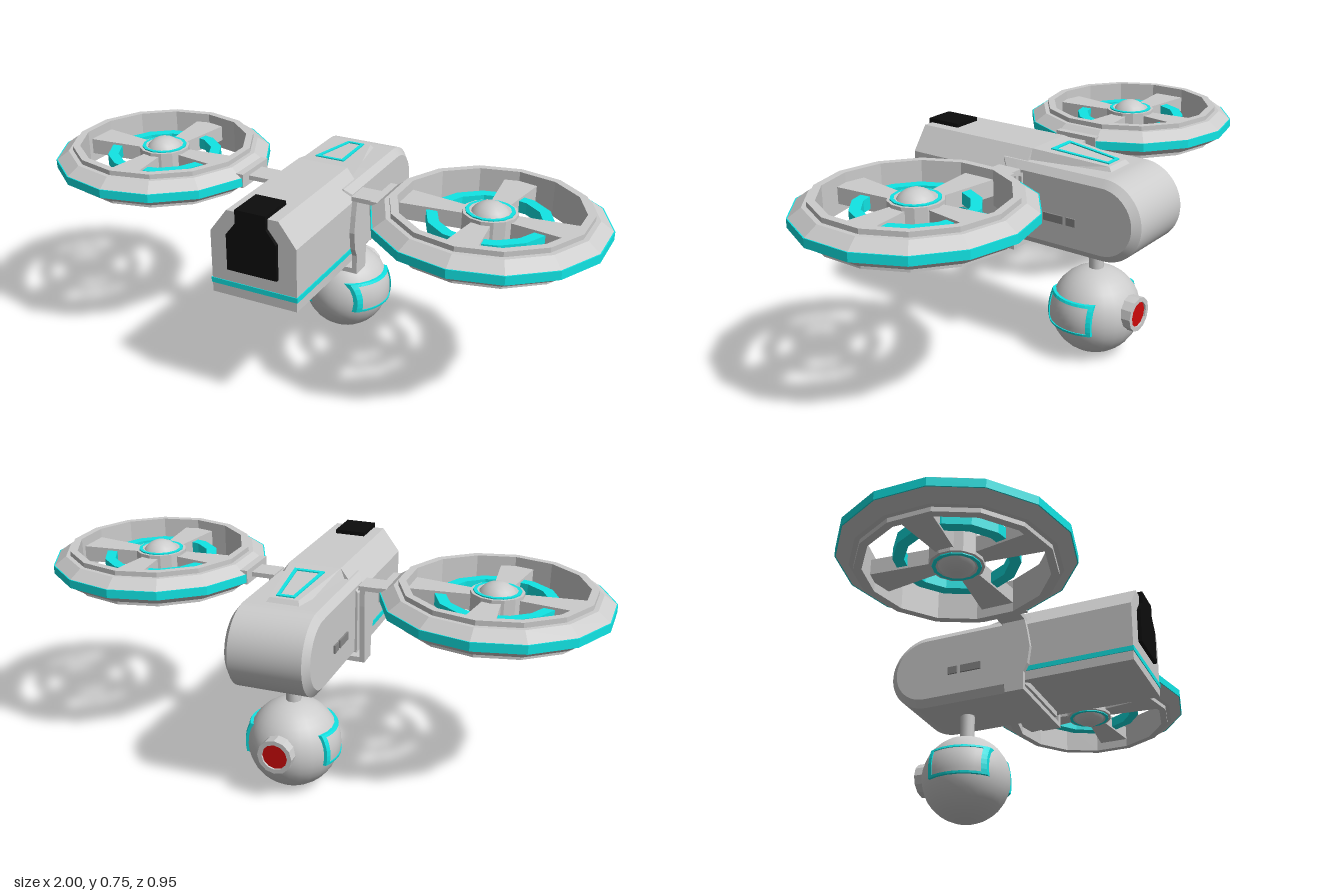
import * as THREE from 'three';
import { toCreasedNormals } from 'three/addons/utils/BufferGeometryUtils.js';

const mat = (color, extra = {}) => new THREE.MeshStandardMaterial({ color, ...extra });
const grey = mat(0xcccccc);
const greyFlat = mat(0xcccccc, { flatShading: true });
const teal = mat(0x11e5e5, { flatShading: true });
const black = mat(0x0c0c0c);
const dark = mat(0x888888);
const red = mat(0xcc0a0a);

function add(parent, name, geometry, material, x = 0, y = 0, z = 0) {
  const mesh = new THREE.Mesh(geometry, material);
  mesh.name = name;
  mesh.position.set(x, y, z);
  parent.add(mesh);
  return mesh;
}
const box = (w, h, d) => new THREE.BoxGeometry(w, h, d);
const poly = (pts) => new THREE.Shape(pts.map(([x, y]) => new THREE.Vector2(x, y)));
const lathe = (pts, n) => new THREE.LatheGeometry(pts.map(([r, y]) => new THREE.Vector2(r, y)), n);
const prism = (shape, depth, opts = {}) =>
  new THREE.ExtrudeGeometry(shape, { depth, bevelEnabled: false, ...opts });

// Move every vertex of a geometry by a rule
function warp(geometry, rule) {
  const p = geometry.attributes.position, v = new THREE.Vector3();
  for (let i = 0; i < p.count; i++) {
    v.fromBufferAttribute(p, i);
    rule(v);
    p.setXYZ(i, v.x, v.y, v.z);
  }
  geometry.computeVertexNormals();
  return geometry;
}

// Side profile (z, y) extruded across x, centred
function sideways(shape, width, opts) {
  const g = prism(shape, width, opts);
  g.translate(0, 0, -width / 2).rotateY(-Math.PI / 2);
  return g;
}

function rotor() {
  const g = new THREE.Group();
  // Duct ring, closed profile around the axis
  add(g, 'ductRing', lathe([[0.3, -0.061], [0.326, -0.061], [0.326, -0.045], [0.342, -0.045], [0.384, -0.016],
    [0.384, 0.014], [0.342, 0.044], [0.326, 0.044], [0.326, 0.061], [0.3, 0.061], [0.3, -0.061]], 14), greyFlat);
  add(g, 'ductBand', lathe([[0.38, -0.016], [0.388, -0.016], [0.388, 0.014], [0.38, 0.014]], 14), teal);
  add(g, 'bladeRing', lathe([[0.168, -0.02], [0.205, -0.02], [0.205, 0.02], [0.168, 0.02], [0.168, -0.02]], 14), teal);
  // Hub with domes and thin rings on both faces
  add(g, 'hub', new THREE.CylinderGeometry(0.09, 0.09, 0.08, 14), greyFlat);
  add(g, 'hubDome', new THREE.SphereGeometry(0.073, 16, 12), grey);
  add(g, 'hubTrim', lathe([[0.068, -0.044], [0.08, -0.044], [0.08, 0.044], [0.068, 0.044]], 14), teal);
  // Four widening blades
  const blade = prism(poly([[0.07, -0.03], [0.308, -0.06], [0.308, 0.06], [0.07, 0.03]]), 0.056);
  blade.translate(0, 0, -0.028).rotateX(-Math.PI / 2);
  for (let i = 0; i < 4; i++) {
    add(g, 'blade', blade, greyFlat).rotation.y = i * Math.PI / 2 - 0.03;
  }
  return g;
}

// Patch hugging the eye ball, given by its height and depth offsets
function ballPatch(side, y0, y1, z0, z1, r) {
  const g = new THREE.BoxGeometry(1, 1, 1, 1, 6, 8);
  return warp(g, (v) => {
    const y = y0 + (v.y + 0.5) * (y1 - y0);
    const z = side > 0 ? z0 + (v.z + 0.5) * (z1 - z0) : z1 - (v.z + 0.5) * (z1 - z0);
    const rr = v.x > 0 ? r : r - 0.012;
    v.set(side * Math.sqrt(rr * rr - y * y - z * z), y, z);
  });
}

export function createModel() {
  const model = new THREE.Group();

  // Front hull with chamfered top
  const section = poly([[-0.155, 0.43], [0.155, 0.43], [0.155, 0.65], [0.093, 0.733], [-0.093, 0.733], [-0.155, 0.65]]);
  add(model, 'frontHull', prism(section, 0.48), greyFlat, 0, 0, -0.02);
  add(model, 'hullStripe', box(0.316, 0.018, 0.395), teal, 0, 0.473, 0.265);

  // Rear hull: side profile rounded at the back, bevelled edges
  const rear = new THREE.Shape();
  rear.moveTo(0.05, 0.435);
  rear.lineTo(0.05, 0.67);
  rear.lineTo(-0.33, 0.67);
  rear.absarc(-0.33, 0.5525, 0.1175, Math.PI / 2, Math.PI * 1.5, false);
  const rearGeo = sideways(rear, 0.254, {
    bevelEnabled: true, bevelSize: 0.026, bevelThickness: 0.02, bevelSegments: 1, curveSegments: 16,
  });
  add(model, 'rearHull', toCreasedNormals(rearGeo, 0.4), grey);

  // Sloping hump on the rear hull, tapering backwards
  const hump = warp(box(1, 1, 1), (v) => {
    const top = v.y > 0, back = v.z < 0;
    const half = top ? (back ? 0.05 : 0.093) : (back ? 0.066 : 0.112);
    v.set(Math.sign(v.x) * half, top ? (back ? 0.71 : 0.733) : 0.68, back ? (top ? -0.3 : -0.325) : -0.02);
  });
  add(model, 'hump', hump, greyFlat);
  const trim = poly([[-0.055, 0.07], [0.055, 0.07], [0.032, 0.287], [-0.032, 0.287]]);
  trim.holes.push(poly([[-0.041, 0.083], [-0.022, 0.275], [0.022, 0.275], [0.041, 0.083]]));
  const trimGeo = prism(trim, 0.008).rotateX(-Math.PI / 2);
  add(model, 'humpTrim', warp(trimGeo, (v) => { v.y += 0.729 + (v.z + 0.02) * 0.082; }), teal);

  // Visor plate folding over the top edge
  const visor = poly([[-0.09, 0.53], [0.09, 0.53], [0.09, 0.655], [0.055, 0.7], [0.055, 0.747],
    [-0.055, 0.747], [-0.055, 0.7], [-0.09, 0.655]]);
  add(model, 'visor', prism(visor, 0.017), black, 0, 0, 0.456);
  add(model, 'visorTop', box(0.11, 0.02, 0.125), black, 0, 0.737, 0.4025);

  // Strap under the hull
  add(model, 'strapBottom', box(0.35, 0.018, 0.07), grey, 0, 0.395, 0.035);
  const cheek = poly([[0, 0.386], [0.07, 0.386], [0.07, 0.455], [0.085, 0.485], [0.094, 0.55],
    [0.085, 0.61], [0.075, 0.66], [0.07, 0.672], [-0.01, 0.672], [-0.01, 0.6]]);

  for (const s of [-1, 1]) {
    add(model, 'strapSide', sideways(cheek, 0.018), greyFlat, s * 0.168);
    // Rotor mount
    add(model, 'rotorArm', box(0.1, 0.016, 0.09), grey, s * 0.205, 0.667, 0.03);
    add(model, 'rotorClamp', box(0.045, 0.05, 0.17), grey, s * 0.263, 0.667, 0.03);
    const r = rotor();
    r.name = s > 0 ? 'leftRotor' : 'rightRotor';
    r.position.set(s * 0.622, 0.664, 0.03);
    model.add(r);
    // Side vents
    add(model, 'ventLong', box(0.02, 0.028, 0.08), dark, s * 0.143, 0.528, -0.146);
    add(model, 'ventShort', box(0.02, 0.028, 0.036), dark, s * 0.143, 0.528, -0.217);
  }

  // Hanging eye ball on its stem
  const eye = new THREE.Group();
  eye.name = 'eye';
  eye.position.set(0, 0.16, -0.225);
  model.add(eye);
  add(eye, 'stem', new THREE.CylinderGeometry(0.026, 0.026, 0.15, 12), grey, 0, 0.205, 0);
  add(eye, 'ball', new THREE.SphereGeometry(0.159, 24, 18), grey);
  for (const s of [-1, 1]) {
    add(eye, 'sidePanel', ballPatch(s, -0.03, 0.07, -0.07, 0.12, 0.164), grey);
    for (const [y0, y1, z0, z1] of [[-0.036, -0.028, -0.075, 0.13], [0.066, 0.075, -0.075, 0.13],
      [-0.036, 0.075, -0.075, -0.06], [-0.036, 0.075, 0.115, 0.13]]) {
      add(eye, 'panelFrame', ballPatch(s, y0, y1, z0, z1, 0.168), teal);
    }
  }
  // Lens at the back
  const collar = lathe([[0.046, 0], [0.062, 0], [0.062, 0.07], [0.046, 0.07], [0.046, 0]], 12).rotateX(-Math.PI / 2);
  add(eye, 'lensCollar', collar, greyFlat, 0, 0.022, -0.108);
  add(eye, 'lens', new THREE.CylinderGeometry(0.047, 0.047, 0.06, 12).rotateX(Math.PI / 2), red, 0, 0.022, -0.141);

  return model;
}
